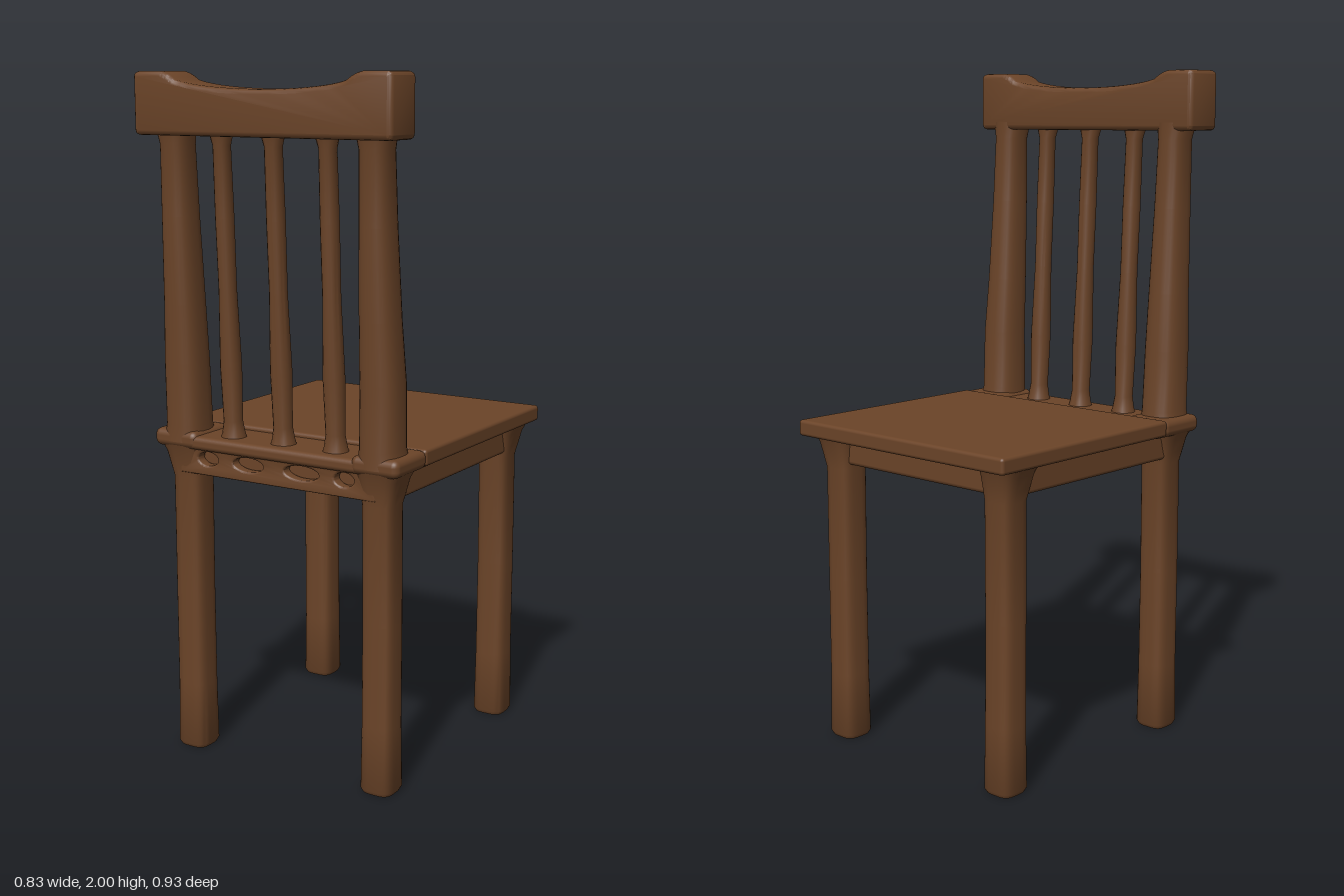
import * as THREE from 'three';
import { toCreasedNormals } from 'three/addons/utils/BufferGeometryUtils.js';
import { RoundedBoxGeometry } from 'three/addons/geometries/RoundedBoxGeometry.js';

const wood = new THREE.MeshStandardMaterial({ color: 0x6b4428 });

function add(parent, name, geometry, x = 0, y = 0, z = 0) {
  const mesh = new THREE.Mesh(geometry, wood);
  mesh.name = name;
  mesh.position.set(x, y, z);
  parent.add(mesh);
  return mesh;
}

// Upright with a rounded-square section; rows are [y, x, z, width, depth] from bottom to top
function upright(rows, power, sides = 24) {
  const pos = [], idx = [];
  const bend = (v) => Math.sign(v) * Math.pow(Math.abs(v), power);
  for (const [y, x, z, w, d] of rows) {
    for (let i = 0; i < sides; i++) {
      const a = ((i + 0.5) / sides) * Math.PI * 2;
      pos.push(x + bend(Math.cos(a)) * w / 2, y, z + bend(Math.sin(a)) * d / 2);
    }
  }
  const last = rows.length - 1;
  for (let r = 0; r < last; r++) {
    for (let i = 0; i < sides; i++) {
      const j = (i + 1) % sides, a = r * sides, b = a + sides;
      idx.push(a + i, b + i, a + j, a + j, b + i, b + j);
    }
  }
  // End caps
  const bottom = pos.length / 3, top = bottom + 1;
  pos.push(rows[0][1], rows[0][0], rows[0][2], rows[last][1], rows[last][0], rows[last][2]);
  for (let i = 0; i < sides; i++) {
    const j = (i + 1) % sides;
    idx.push(bottom, i, j, top, last * sides + j, last * sides + i);
  }
  const g = new THREE.BufferGeometry();
  g.setAttribute('position', new THREE.Float32BufferAttribute(pos, 3));
  g.setIndex(idx);
  return toCreasedNormals(g, 0.7);
}

function extrude(shape, depth, bevel) {
  const g = new THREE.ExtrudeGeometry(shape, {
    depth: depth - 2 * bevel, bevelEnabled: true, bevelThickness: bevel,
    bevelSize: bevel, bevelOffset: -bevel, bevelSegments: 3, curveSegments: 16,
  });
  g.translate(0, 0, bevel);
  return toCreasedNormals(g, 0.6);
}

// Rectangle with oval openings given as [x, y, radiusX, radiusY]
function boardShape(x0, y0, x1, y1, ovals) {
  const shape = new THREE.Shape();
  shape.moveTo(x0, y0).lineTo(x1, y0).lineTo(x1, y1).lineTo(x0, y1);
  for (const [x, y, rx, ry] of ovals) {
    shape.holes.push(new THREE.Path().absellipse(x, y, rx, ry, 0, Math.PI * 2, true));
  }
  return shape;
}

export function createModel() {
  const chair = new THREE.Group();
  chair.name = 'chair';

  // Seat panel, with a slightly lower ledge under the spindles
  add(chair, 'seat', new RoundedBoxGeometry(0.82, 0.048, 0.72, 3, 0.01), 0, 0.961, -0.105);
  add(chair, 'seatBackLedge', new RoundedBoxGeometry(0.81, 0.04, 0.2, 3, 0.015), 0, 0.952, 0.312);

  for (const s of [-1, 1]) {
    const side = s > 0 ? 'left' : 'right';
    // Legs flare gently where they meet the seat
    const leg = (z) => upright([
      [0, s * 0.322, z, 0.09, 0.09], [0.012, s * 0.322, z, 0.102, 0.104],
      [0.2, s * 0.322, z, 0.096, 0.1], [0.5, s * 0.323, z, 0.096, 0.098],
      [0.84, s * 0.322, z, 0.096, 0.1], [0.875, s * 0.325, z, 0.11, 0.11],
      [0.915, s * 0.328, z, 0.124, 0.125], [0.945, s * 0.333, z, 0.145, 0.145],
    ], 0.55);
    add(chair, side + 'FrontLeg', leg(-0.357));
    add(chair, side + 'BackLeg', leg(0.34));

    // Rounded seat corner around the post
    add(chair, side + 'SeatCorner', new RoundedBoxGeometry(0.15, 0.052, 0.17, 3, 0.02), s * 0.335, 0.958, 0.33);

    // Back post, leaning back and tapering upward
    add(chair, side + 'BackPost', upright([
      [0.95, s * 0.33, 0.345, 0.13, 0.145], [1.0, s * 0.327, 0.348, 0.115, 0.135],
      [1.18, s * 0.329, 0.352, 0.115, 0.126], [1.35, s * 0.326, 0.361, 0.104, 0.118],
      [1.6, s * 0.325, 0.373, 0.092, 0.108], [1.8, s * 0.325, 0.38, 0.086, 0.1],
      [1.85, s * 0.326, 0.385, 0.104, 0.11],
    ], 0.75));

    add(chair, side + 'Apron', new RoundedBoxGeometry(0.06, 0.09, 0.66, 2, 0.012), s * 0.338, 0.9, -0.01);
  }

  // Three turned spindles with a slight swell
  for (const x of [-0.172, 0, 0.174]) {
    add(chair, 'spindle', upright([
      [0.95, x, 0.345, 0.085, 0.08], [0.985, x, 0.345, 0.064, 0.064],
      [1.02, x, 0.347, 0.052, 0.056], [1.18, x, 0.354, 0.06, 0.062],
      [1.4, x, 0.364, 0.048, 0.054], [1.6, x, 0.373, 0.05, 0.056],
      [1.8, x, 0.382, 0.048, 0.052], [1.85, x, 0.386, 0.075, 0.07],
    ], 0.9, 16));
  }

  // Front apron, and back apron faced with a board of oval recesses
  add(chair, 'frontApron', new RoundedBoxGeometry(0.64, 0.09, 0.06, 2, 0.012), 0, 0.9, -0.36);
  add(chair, 'backApron', new RoundedBoxGeometry(0.64, 0.09, 0.05, 2, 0.01), 0, 0.9, 0.335);
  const recesses = [[-0.23, 0.035], [-0.09, 0.052], [0.09, 0.058], [0.23, 0.032]];
  const backBoard = boardShape(-0.33, 0.857, 0.33, 0.945, recesses.map(([x, r]) => [x, 0.907, r, 0.02]));
  add(chair, 'backApronBoard', extrude(backBoard, 0.035, 0.006), 0, 0, 0.36);

  // Underside panel closing the apron frame, with a few oval openings toward the back
  const openings = [[-0.15, -0.2, 0.06, 0.035], [0.15, -0.2, 0.06, 0.035], [-0.15, 0.02, 0.05, 0.03], [0.15, 0.02, 0.05, 0.03]];
  const underside = extrude(boardShape(-0.33, -0.34, 0.33, 0.36, openings), 0.025, 0.005);
  add(chair, 'undersidePanel', underside.rotateX(-Math.PI / 2), 0, 0.86, 0);

  // Top rail with raised ends and a shallow dip between them
  const rail = new THREE.Shape();
  rail.moveTo(-0.4, 1.826).lineTo(0.4, 1.826).quadraticCurveTo(0.415, 1.826, 0.415, 1.845);
  rail.lineTo(0.415, 1.985).quadraticCurveTo(0.413, 2, 0.395, 2);
  rail.lineTo(0.325, 2).quadraticCurveTo(0.3, 1.997, 0.275, 1.977);
  rail.bezierCurveTo(0.17, 1.945, -0.17, 1.945, -0.275, 1.977);
  rail.quadraticCurveTo(-0.3, 1.997, -0.325, 2).lineTo(-0.395, 2);
  rail.quadraticCurveTo(-0.413, 2, -0.415, 1.985).lineTo(-0.415, 1.845);
  rail.quadraticCurveTo(-0.415, 1.826, -0.4, 1.826);
  add(chair, 'topRail', extrude(rail, 0.13, 0.014), 0, 0, 0.333);

  return chair;
}
